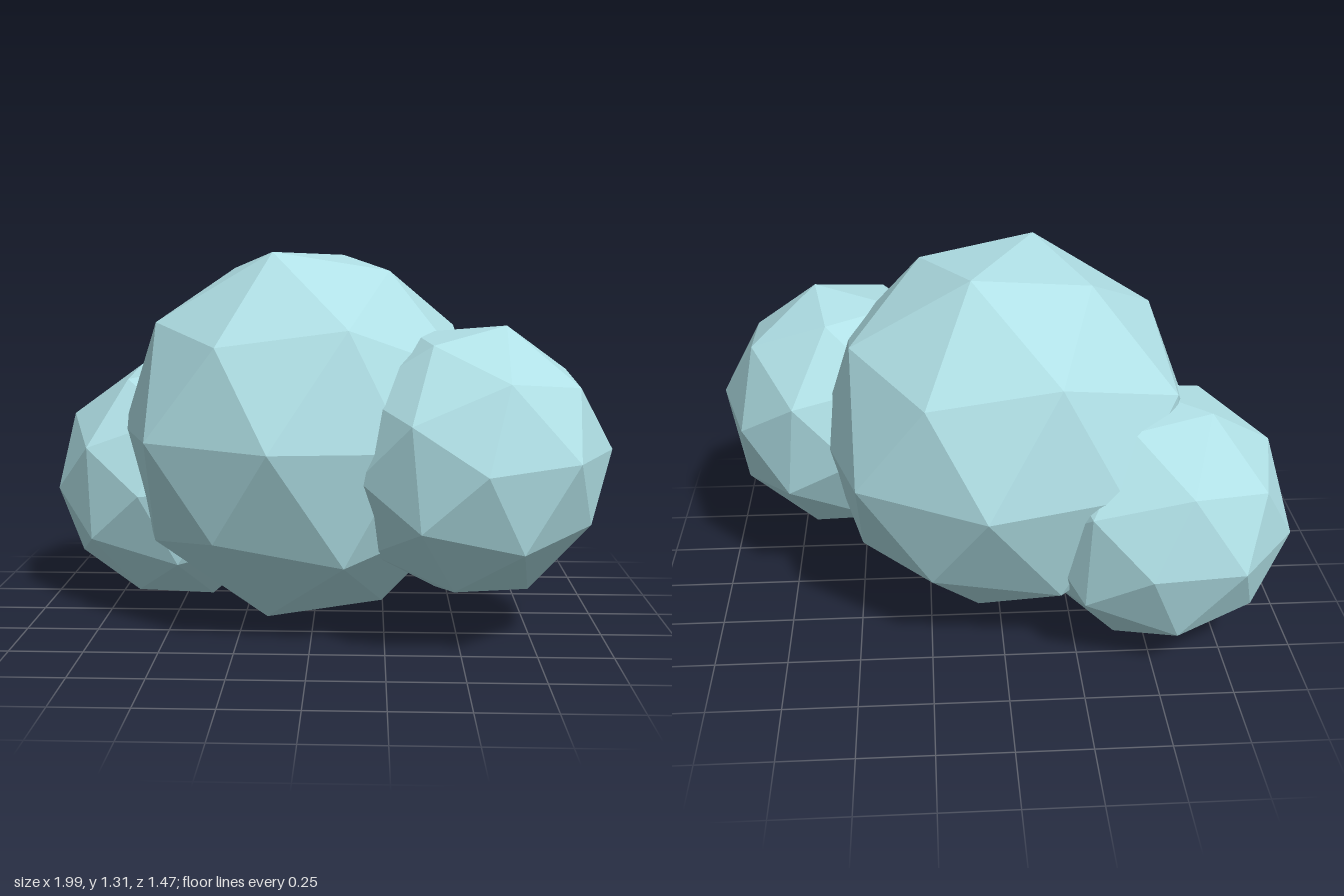
import * as THREE from 'three';
import { ConvexGeometry } from 'three/addons/geometries/ConvexGeometry.js';

// Faceted puff of unit radius: twelve shallow five-sided pyramids on a dodecahedron
function puffGeometry() {
  const phi = (1 + Math.sqrt(5)) / 2;
  const points = [];
  const add = (x, y, z, r) => points.push(new THREE.Vector3(x, y, z).setLength(r));
  for (const s of [-1, 1]) for (const t of [-1, 1]) {
    // cube corners
    add(1, s, t, 0.985);
    add(-1, s, t, 0.985);
    // remaining corners, in three cyclic orders
    add(0, s / phi, t * phi, 1);
    add(s / phi, t * phi, 0, 1);
    add(s * phi, 0, t / phi, 1);
    // pyramid tips
    add(0, s * 1.8, t, 0.975);
    add(s * 1.8, t, 0, 0.975);
    add(t, 0, s * 1.8, 0.975);
  }
  return new ConvexGeometry(points);
}

export function createModel() {
  const group = new THREE.Group();
  group.name = 'cloud';
  const material = new THREE.MeshStandardMaterial({ color: 0xb0e0e6, flatShading: true });
  const geometry = puffGeometry();

  // name, centre, radius, turn about y and tilt in degrees
  const puffs = [
    ['middlePuff', [-0.03, 0.67, -0.025], 0.68, -119, 2],
    ['leftPuff', [0.535, 0.62, 0.275], 0.473, -26, 6],
    ['rightPuff', [-0.54, 0.447, -0.285], 0.466, -39, 3],
  ];
  for (const [name, centre, radius, turn, tilt] of puffs) {
    const puff = new THREE.Mesh(geometry, material);
    puff.name = name;
    puff.position.set(...centre);
    puff.scale.setScalar(radius);
    puff.rotation.set(0, THREE.MathUtils.degToRad(turn), THREE.MathUtils.degToRad(tilt));
    group.add(puff);
  }
  return group;
}
